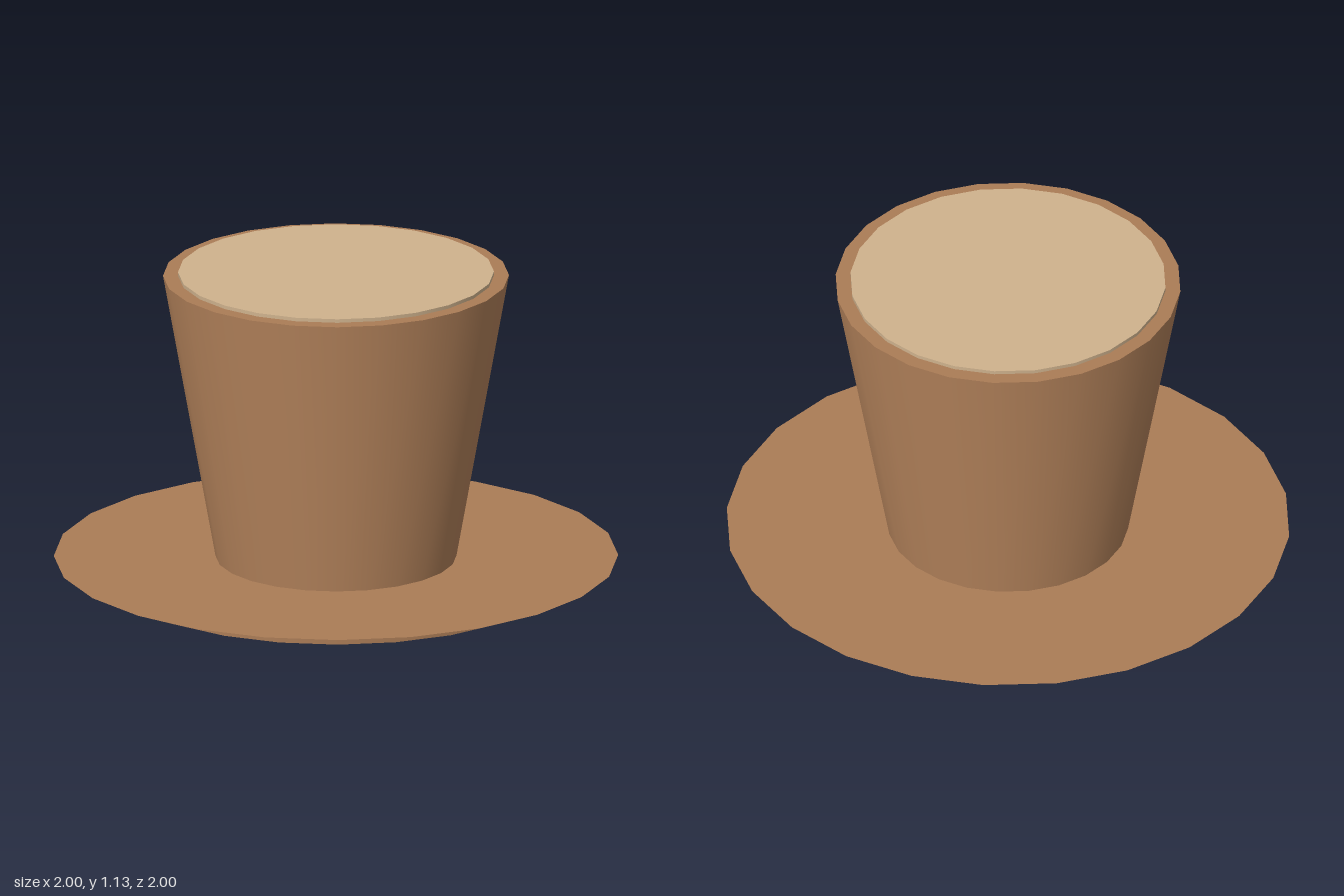
import * as THREE from 'three';

export function createModel() {
  const model = new THREE.Group();
  model.name = 'cupOnSaucer';

  const clay = new THREE.MeshStandardMaterial({ color: 0xab7c56 });
  clay.name = 'brown clay';
  const cream = new THREE.MeshStandardMaterial({ color: 0xcfb28d });
  cream.name = 'pale tan';

  // Capped round section between two heights; the lower ring is drawn in
  // after building, so the side keeps its level, outward smooth normals
  const addRound = (name, topRadius, bottomRadius, y0, y1, material) => {
    const geometry = new THREE.CylinderGeometry(topRadius, topRadius, y1 - y0, 24);
    const points = geometry.attributes.position;
    const taper = bottomRadius / topRadius;
    for (let i = 0; i < points.count; i++) {
      if (points.getY(i) < 0) {
        points.setX(i, points.getX(i) * taper);
        points.setZ(i, points.getZ(i) * taper);
      }
    }
    const mesh = new THREE.Mesh(geometry, material);
    mesh.name = name;
    mesh.position.y = (y0 + y1) / 2;
    model.add(mesh);
  };

  // The cup is set into the saucer and the filling is sunk into the cup
  addRound('saucer', 1, 0.8, 0, 0.08, clay);
  addRound('cup', 0.613, 0.42, 0.04, 1.12, clay);
  addRound('filling', 0.56, 0.56, 0.93, 1.133, cream);

  return model;
}
